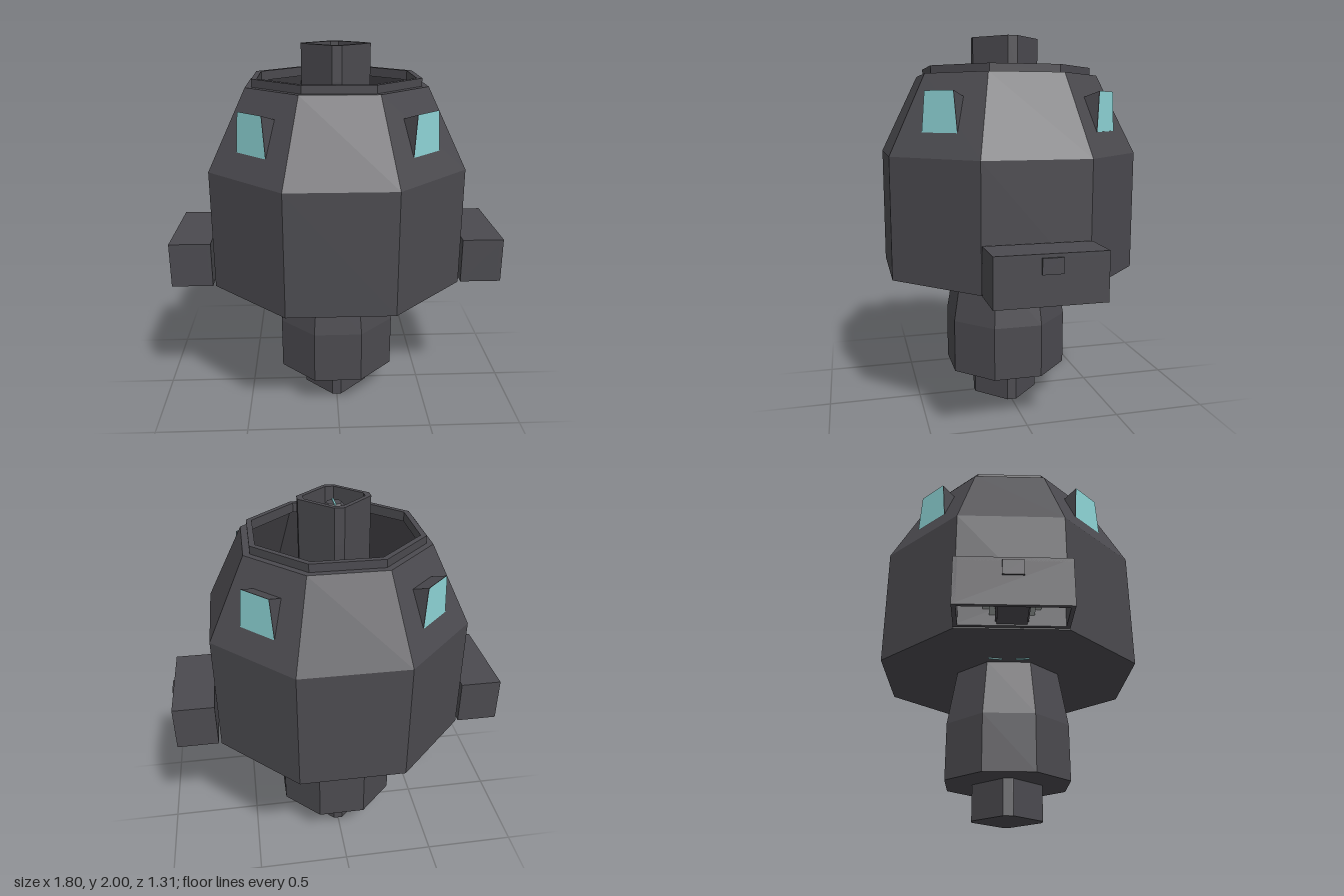
import * as THREE from 'three';

export function createModel() {
  const model = new THREE.Group();
  model.name = 'pod';
  const mat = (name, color, side = THREE.FrontSide) => {
    const m = new THREE.MeshStandardMaterial({ color, side, flatShading: true });
    m.name = name;
    return m;
  };
  const dark = mat('darkGrey', 0x4b4a4f);
  const glass = mat('tealGlass', 0x8fd6d8, THREE.DoubleSide);
  const pale = mat('paleGrey', 0xa3a9a7, THREE.DoubleSide);

  const add = (name, geo, material, parent = model) => {
    const m = new THREE.Mesh(geo, material);
    m.name = name;
    parent.add(m);
    return m;
  };
  const box = (name, w, h, d, x, y, z, material = dark, parent = model) => {
    const m = add(name, new THREE.BoxGeometry(w, h, d), material, parent);
    m.position.set(x, y, z);
    return m;
  };
  // Octagonal body from [apothem, height] pairs, flat sides facing the axes
  const octagon = (name, profile) => {
    const k = 1 / Math.cos(Math.PI / 8);
    let geo = new THREE.LatheGeometry(profile.map(([r, y]) => new THREE.Vector2(r * k, y)), 8);
    geo.rotateY(Math.PI / 8);
    geo = geo.toNonIndexed();
    geo.computeVertexNormals();
    return add(name, geo, dark);
  };

  // Hull: open at the top, with a narrow rim and a hollow cabin
  octagon('hull', [
    [0, 0.76], [0.655, 0.76], [0.655, 1.39], [0.46, 1.8], [0.428, 1.8], [0.428, 1.84],
    [0.4, 1.84], [0.4, 1.79], [0.43, 1.79], [0.625, 1.38], [0.625, 0.78], [0, 0.78],
  ]);
  octagon('lowerModule', [[0, 0.18], [0.315, 0.18], [0.315, 0.47], [0.268, 0.765], [0, 0.765]]);
  octagon('floorPlate', [[0.27, 0.775], [0.27, 0.79], [0, 0.79]]);

  // Central column: a diagonal square with cut corners, hollow at the top
  const columnPoints = (r, c) => [
    [r, -c], [r, c], [c, r], [-c, r], [-r, c], [-r, -c], [-c, -r], [c, -r],
  ].map(([x, y]) => new THREE.Vector2(x, y));
  const column = (name, y0, y1, hole) => {
    const shape = new THREE.Shape(columnPoints(0.18, 0.025));
    if (hole) shape.holes.push(new THREE.Path(columnPoints(0.15, 0.022).reverse()));
    const geo = new THREE.ExtrudeGeometry(shape, { depth: y1 - y0, bevelEnabled: false });
    geo.rotateX(-Math.PI / 2);
    geo.translate(0, y0, 0);
    add(name, geo, dark);
  };
  column('column', 0, 1.82, false);
  column('columnCollar', 1.82, 2, true);

  // Hatch post inside the collar, with diagonal ribs
  add('hatchPost', new THREE.CylinderGeometry(0.055, 0.055, 0.13, 8), dark).position.set(0, 1.885, 0);
  add('hatchCap', new THREE.CylinderGeometry(0.04, 0.055, 0.02, 8), dark).position.set(0, 1.96, 0);
  box('hatchLight', 0.008, 0.008, 0.09, 0, 1.971, 0, glass);
  for (const s of [1, -1]) {
    box('hatchRib', 0.2, 0.04, 0.02, 0, 1.84, 0).rotation.y = s * Math.PI / 4;
  }

  // Dormer windows on the four diagonal faces
  for (let i = 0; i < 4; i++) {
    const dormer = new THREE.Group();
    dormer.name = 'dormerWindow';
    dormer.rotation.y = Math.PI / 4 + i * Math.PI / 2;
    model.add(dormer);
    // Wedge corners: sill, head and the line where the roof meets the hull
    const [a, b, c, d, e, f] = [
      [-0.105, 1.51, 0.598], [0.105, 1.51, 0.598], [0.085, 1.71, 0.598],
      [-0.085, 1.71, 0.598], [0.085, 1.68, 0.51], [-0.085, 1.68, 0.51],
    ];
    const geo = new THREE.BufferGeometry();
    geo.setAttribute('position', new THREE.Float32BufferAttribute(
      [a, b, c, a, c, d, d, c, e, d, e, f, b, e, c, a, d, f].flat(), 3));
    geo.computeVertexNormals();
    add('dormerFrame', geo, dark, dormer);
    const pane = new THREE.Shape([a, b, c, d].map(([x, y]) => new THREE.Vector2(x, y)));
    add('dormerPane', new THREE.ShapeGeometry(pane), glass, dormer).position.z = 0.601;
  }

  // Side pods: hollow boxes open underneath, with steps inside
  for (const turn of [0, Math.PI]) {
    const pod = new THREE.Group();
    pod.name = 'sidePod';
    pod.rotation.y = turn;
    model.add(pod);
    box('podRoof', 0.22, 0.02, 0.54, 0.78, 0.99, 0, dark, pod);
    for (const x of [0.68, 0.88]) box('podWall', 0.02, 0.24, 0.54, x, 0.88, 0, dark, pod);
    for (const z of [-0.26, 0.26]) box('podEnd', 0.22, 0.24, 0.02, 0.78, 0.88, z, dark, pod);
    for (const z of [-0.07, 0.07]) box('podDivider', 0.2, 0.2, 0.015, 0.78, 0.88, z, dark, pod);
    box('podFloor', 0.2, 0.015, 0.14, 0.78, 0.775, 0, dark, pod);
    for (const s of [1, -1]) {
      for (let i = 0; i < 5; i++) {
        box('podStep', 0.18, 0.012, 0.03, 0.78, 0.82 + i * 0.03, s * (0.09 + i * 0.03), pale, pod);
      }
    }
    box('podLatch', 0.012, 0.075, 0.1, 0.894, 0.945, 0, dark, pod);
    box('podHinge', 0.03, 0.075, 0.12, 0.665, 0.945, 0, dark, pod);
  }

  // Cabin fittings
  for (const x of [-1, 1]) {
    for (const z of [-1, 1]) {
      const lamp = add('floorLamp', new THREE.ConeGeometry(0.03, 0.08, 6), dark);
      lamp.position.set(x * 0.2, 0.83, z * 0.19);
      box('screen', 0.008, 0.12, 0.07, x * 0.315, 0.815, z * 0.07, glass).rotation.y = x * z * 0.15;
    }
  }
  for (const [x, z, turn] of [[-0.17, -0.27, -0.5], [0.22, 0.29, -0.5], [-0.14, 0.35, -0.5]]) {
    box('floorPanel', 0.07, 0.008, 0.07, x, 0.81, z, pale).rotation.y = turn;
  }
  for (const x of [-0.03, 0.03]) {
    add('stoolSeat', new THREE.CylinderGeometry(0.027, 0.027, 0.015, 10), pale).position.set(x, 0.87, 0.37);
    add('stoolLeg', new THREE.CylinderGeometry(0.01, 0.02, 0.09, 6), pale).position.set(x, 0.82, 0.37);
    box('stoolFoot', 0.04, 0.01, 0.02, x, 0.785, 0.41, pale);
  }
  return model;
}
